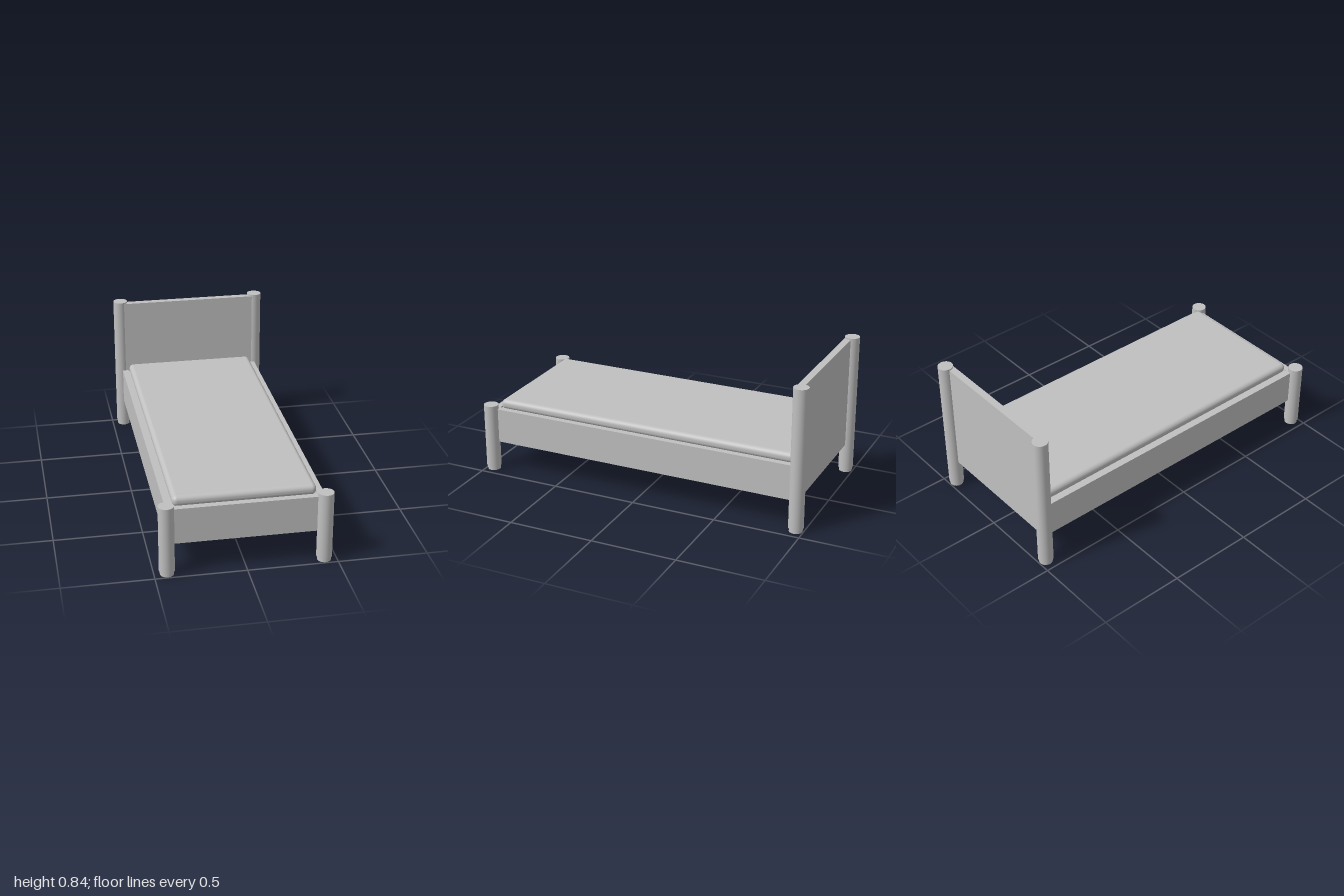
import * as THREE from 'three';
import { RoundedBoxGeometry } from 'three/addons/geometries/RoundedBoxGeometry.js';

export function createModel() {
  const bed = new THREE.Group();
  bed.name = 'bed';
  const grey = new THREE.MeshStandardMaterial({ color: 0xc0c0c0 });
  grey.name = 'light grey';

  const add = (name, geometry, x, y, z) => {
    const mesh = new THREE.Mesh(geometry, grey);
    mesh.name = name;
    mesh.position.set(x, y, z);
    bed.add(mesh);
  };
  // Box given by its lower and upper limits on each axis
  const addBox = (name, [x0, x1], [y0, y1], [z0, z1]) =>
    add(name, new THREE.BoxGeometry(x1 - x0, y1 - y0, z1 - z0),
      (x0 + x1) / 2, (y0 + y1) / 2, (z0 + z1) / 2);

  const postX = 0.43, postZ = 0.957, postR = 0.043;
  const footH = 0.022, railBottom = 0.178, railTop = 0.384;

  // Round corner posts, each on a slightly narrower foot
  for (const side of [-1, 1]) {
    for (const end of [-1, 1]) {
      const top = end > 0 ? 0.41 : 0.843;
      const label = (end > 0 ? 'front' : 'rear') + (side > 0 ? 'Left' : 'Right');
      add(label + 'Post', new THREE.CylinderGeometry(postR, postR, top - footH, 48),
        side * postX, (top + footH) / 2, end * postZ);
      add(label + 'Foot', new THREE.CylinderGeometry(0.038, 0.038, footH, 48),
        side * postX, footH / 2, end * postZ);
    }
  }

  // End panels
  addBox('headboard', [-postX, postX], [railBottom, 0.835], [-0.96, -0.919]);
  addBox('footboard', [-postX, postX], [railBottom, railTop], [0.917, 0.955]);

  // Side rails and the base between them
  addBox('leftRail', [0.393, postX], [railBottom, railTop], [-0.919, 0.917]);
  addBox('rightRail', [-postX, -0.393], [railBottom, railTop], [-0.919, 0.917]);
  addBox('base', [-0.393, 0.393], [railBottom, 0.376], [-0.919, 0.917]);

  // Mattress with softly rounded edges
  add('mattress', new RoundedBoxGeometry(0.78, 0.06, 1.834, 6, 0.027), 0, 0.401, -0.001);

  return bed;
}
